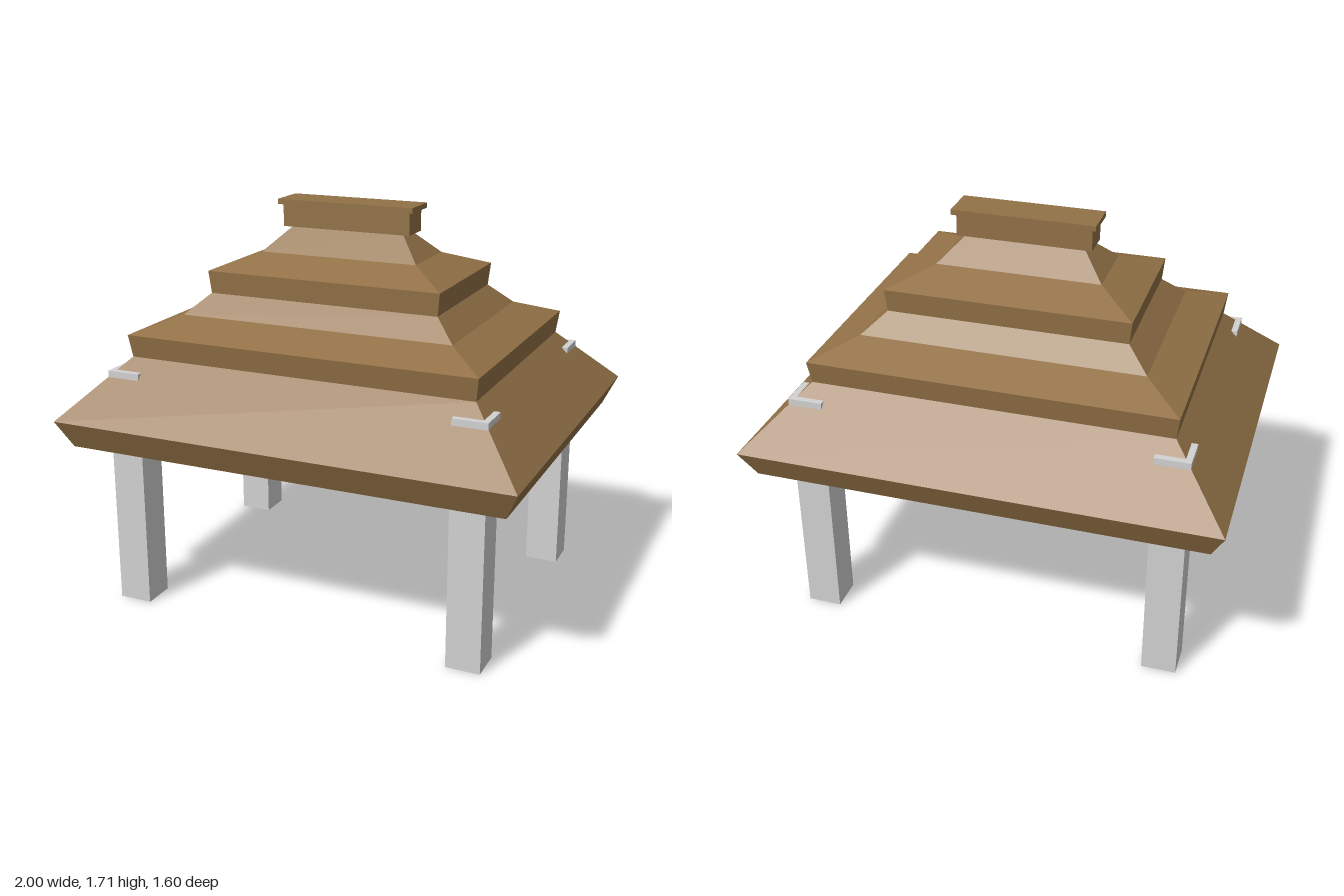
import * as THREE from 'three';

// Faceted solid stacked from rectangular rings [halfX, halfZ, y], listed bottom to top
function ringSolid(rings) {
  const pos = [];
  const corners = ([x, z, y]) => [[x, y, z], [x, y, -z], [-x, y, -z], [-x, y, z]];
  const quad = (a, b, c, d) => pos.push(...a, ...b, ...c, ...a, ...c, ...d);
  for (let i = 0; i < rings.length - 1; i++) {
    const lo = corners(rings[i]), hi = corners(rings[i + 1]);
    for (let k = 0; k < 4; k++) {
      const n = (k + 1) % 4;
      quad(lo[k], lo[n], hi[n], hi[k]);
    }
  }
  const b = corners(rings[0]), t = corners(rings[rings.length - 1]);
  quad(b[3], b[2], b[1], b[0]);
  quad(t[0], t[1], t[2], t[3]);
  const geo = new THREE.BufferGeometry();
  geo.setAttribute('position', new THREE.Float32BufferAttribute(pos, 3));
  geo.computeVertexNormals();
  return geo;
}

export function createModel() {
  const group = new THREE.Group();
  group.name = 'pavilion';
  const thatch = new THREE.MeshStandardMaterial({ color: 0x937247, flatShading: true });
  thatch.name = 'brown roof';
  const stone = new THREE.MeshStandardMaterial({ color: 0xd2d2d2, flatShading: true });
  stone.name = 'pale post';

  const add = (name, geo, mat) => {
    const mesh = new THREE.Mesh(geo, mat);
    mesh.name = name;
    group.add(mesh);
    return mesh;
  };

  // Three-tiered roof with flared eaves
  add('roof', ringSolid([
    [0.945, 0.745, 0.725], [1, 0.8, 0.843],
    [0.755, 0.555, 1.09], [0.767, 0.57, 1.185],
    [0.6, 0.395, 1.25], [0.507, 0.313, 1.335],
    [0.517, 0.32, 1.43], [0.35, 0.15, 1.495],
    [0.25, 0.045, 1.597],
  ]), thatch);

  // Ridge block and its overhanging cap
  add('ridge', ringSolid([[0.287, 0.066, 1.595], [0.287, 0.066, 1.69]]), thatch);
  add('ridgeCap', ringSolid([[0.305, 0.083, 1.69], [0.305, 0.083, 1.712]]), thatch);

  // Corner posts, whose tops break through the roof slope
  const h = 1.04;
  const postGeo = new THREE.BoxGeometry(0.145, h, 0.145);
  for (const [sx, side] of [[1, 'Left'], [-1, 'Right']]) {
    for (const [sz, end] of [[1, 'front'], [-1, 'back']]) {
      add(`${end}${side}Post`, postGeo, stone).position.set(sx * 0.758, h / 2, sz * 0.56);
    }
  }
  return group;
}
